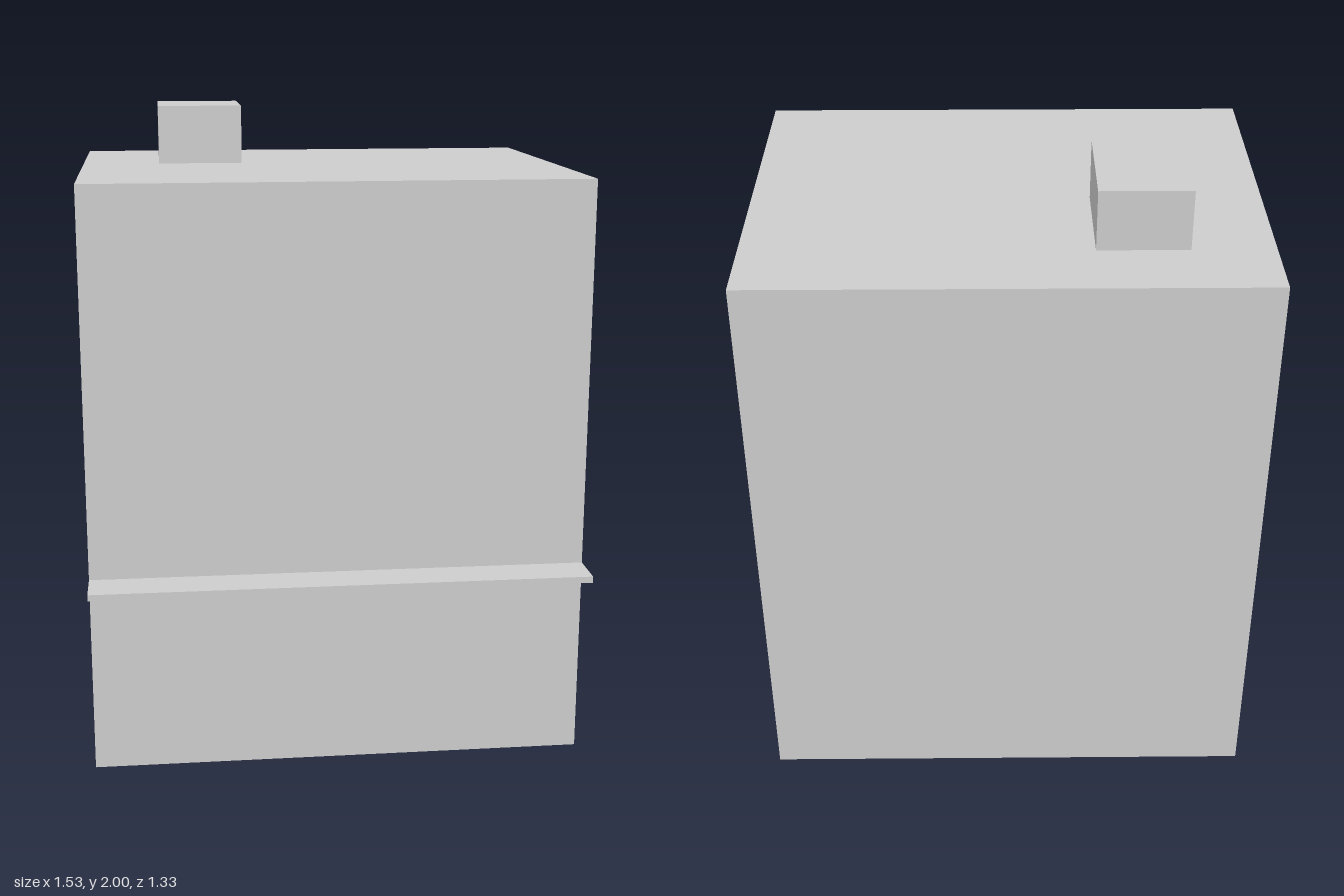
import * as THREE from 'three';

export function createModel() {
  const model = new THREE.Group();
  const grey = new THREE.MeshStandardMaterial({ color: 0xcccccc, side: THREE.DoubleSide });
  grey.name = 'plain grey';

  // Box given by its lower and upper limits on each axis
  function box(name, [x0, x1], [y0, y1], [z0, z1]) {
    const geometry = new THREE.BoxGeometry(x1 - x0, y1 - y0, z1 - z0);
    geometry.translate((x0 + x1) / 2, (y0 + y1) / 2, (z0 + z1) / 2);
    const mesh = new THREE.Mesh(geometry, grey);
    mesh.name = name;
    model.add(mesh);
    return mesh;
  }

  const W = 0.765, H = 1.815, BACK = -0.665, FRONT = 0.535;

  // Building shell, open underneath: drop the six indices of the bottom face
  const shell = box('buildingShell', [-W, W], [0, H], [BACK, FRONT]);
  const index = Array.from(shell.geometry.index.array);
  index.splice(18, 6);
  shell.geometry.setIndex(index);
  shell.geometry.clearGroups();

  // Chimney and the thin awning across the front
  box('chimney', [-0.52, -0.25], [H, 2], [-0.45, -0.12]);
  box('awning', [-W, W], [0.6, 0.62], [FRONT, 0.665]);

  // Shallow panels along the inside of the front wall
  for (let i = 0; i < 3; i++) {
    const x = -W + 0.51 * i;
    box('frontPanel' + (i + 1), [x, x + 0.46], [0.32, 0.6], [FRONT - 0.03, FRONT - 0.002]);
  }

  // Sign box set inside the front wall
  box('signBox', [-0.61, 0.61], [0.82, 1.02], [FRONT - 0.13, FRONT - 0.002]);

  return model;
}
